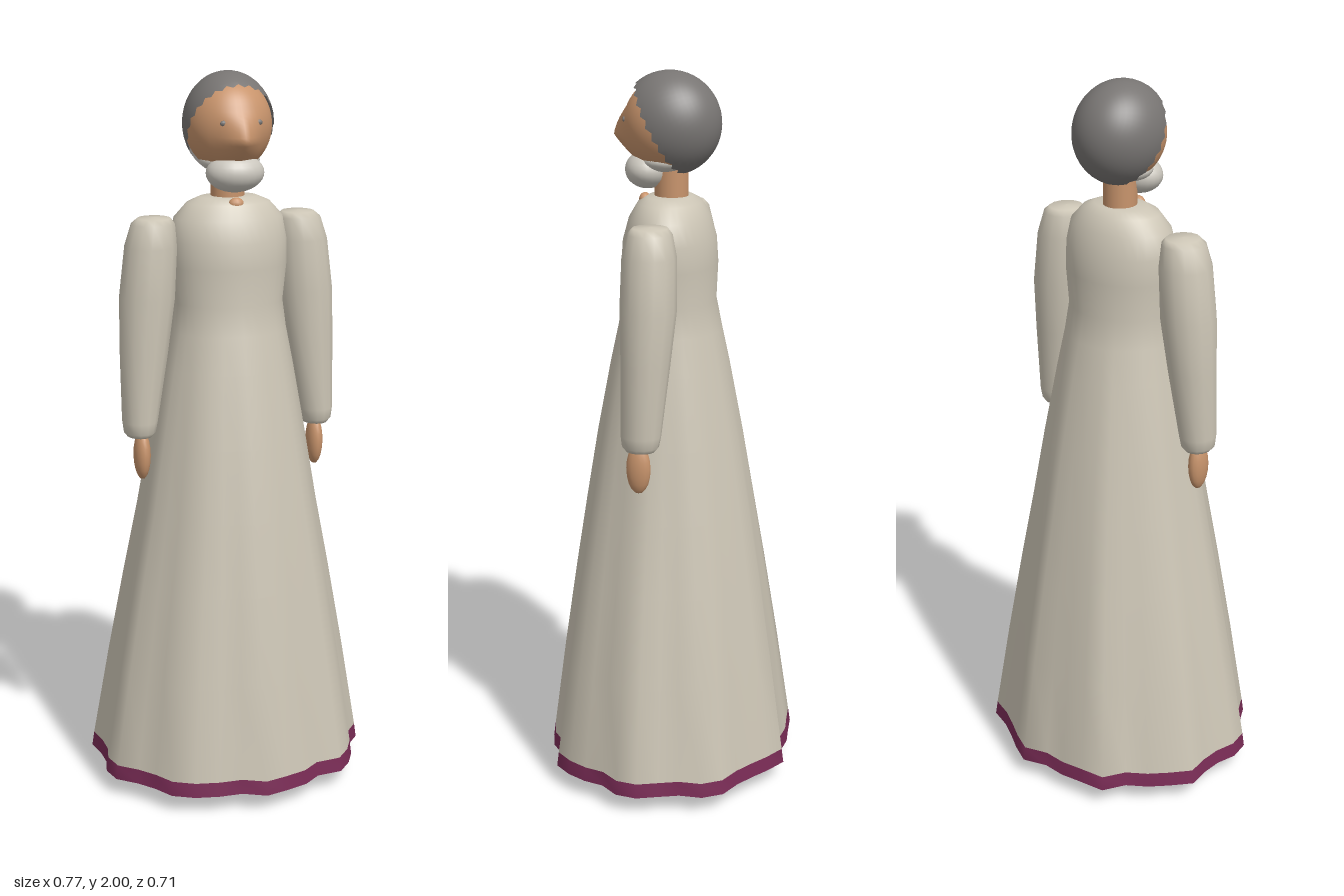
import * as THREE from 'three';

const mat = (name, color, extra = {}) => {
  const m = new THREE.MeshStandardMaterial({ color, ...extra });
  m.name = name;
  return m;
};

// Skirt fold multipliers, one every 10 degrees from +x towards +z
const FOLDS = [
  1.04, 1.035, 0.963, 1, 1.03, 1.05, 0.955, 1.005, 1.02, 1.053, 0.97, 1.01,
  1.05, 1.06, 1, 1, 1.065, 1.05, 0.995, 1.01, 1.086, 1.045, 1.025, 1,
  1.1, 1.04, 1.02, 0.99, 1.07, 1.02, 0.985, 0.99, 1.06, 1.05, 0.975, 0.99,
];

// Lofts elliptical rings [cx, y, cz, rx, rz, fold], listed from top to bottom
function loft(rings, sides) {
  const pos = [], idx = [];
  rings.forEach(([cx, y, cz, rx, rz, fold = 0], r) => {
    for (let i = 0; i < sides; i++) {
      const a = (i / sides) * Math.PI * 2;
      const k = fold ? 1 + (FOLDS[i] - 1) * fold : 1;
      pos.push(cx + Math.cos(a) * rx * k, y, cz + Math.sin(a) * rz * k);
      if (r === rings.length - 1) continue;
      const j = (i + 1) % sides, p = r * sides, q = p + sides;
      idx.push(p + i, p + j, q + i, p + j, q + j, q + i);
    }
  });
  const g = new THREE.BufferGeometry();
  g.setAttribute('position', new THREE.Float32BufferAttribute(pos, 3));
  g.setIndex(idx);
  g.computeVertexNormals();
  return g;
}

export function createModel() {
  const group = new THREE.Group();
  const cloth = mat('robe cloth', 0xcdc6b6, { side: THREE.DoubleSide });
  const trim = mat('hem purple', 0x7a2c56, { side: THREE.DoubleSide });
  const skin = mat('skin', 0xc8946c);
  const hairGrey = mat('hair grey', 0x787573);
  const beardGrey = mat('beard grey', 0xcbc7be);

  const add = (name, geometry, material) => {
    const m = new THREE.Mesh(geometry, material);
    m.name = name;
    group.add(m);
    return m;
  };
  const ball = (name, material, [x, y, z], [rx, ry, rz], seg = 24) => {
    const m = add(name, new THREE.SphereGeometry(1, seg, seg * 0.67 | 0), material);
    m.position.set(x, y, z);
    m.scale.set(rx, ry, rz);
    return m;
  };

  // Robe: shoulders, bodice and flared, folded skirt
  const hemTop = [0, 0.09, 0, 0.365, 0.33, 0.98];
  add('robe', loft([
    [0, 1.667, 0, 0.03, 0.03],
    [0, 1.665, 0, 0.08, 0.06],
    [0, 1.65, 0, 0.115, 0.085],
    [0, 1.61, 0, 0.152, 0.108],
    [0, 1.55, 0, 0.163, 0.125],
    [0, 1.48, 0, 0.163, 0.13],
    [0, 1.38, 0, 0.152, 0.126, 0.02],
    [0, 1.3, 0, 0.162, 0.142, 0.1],
    [0, 1.2, 0, 0.181, 0.163, 0.2],
    [0, 1.0, 0, 0.215, 0.2, 0.4],
    [0, 0.8, 0, 0.247, 0.232, 0.55],
    [0, 0.6, 0, 0.283, 0.262, 0.7],
    [0, 0.35, 0, 0.325, 0.297, 0.85],
    hemTop,
  ], 36), cloth);
  add('hemBand', loft([hemTop, [0, 0.05, 0, 0.37, 0.335, 1]], 36), trim);

  // Sleeves, hands, legs and feet
  for (const s of [1, -1]) {
    const side = s > 0 ? 'left' : 'right';
    const dx = -0.005;
    const sleeve = [
      [0.205, 1.618, 0.003, 0, 0],
      [0.205, 1.615, 0.003, 0.045, 0.048],
      [0.208, 1.6, 0.003, 0.06, 0.06],
      [0.215, 1.54, 0.003, 0.072, 0.073],
      [0.227, 1.4, 0.003, 0.077, 0.076],
      [0.239, 1.25, 0.008, 0.067, 0.066],
      [0.255, 1.06, 0.017, 0.049, 0.055],
      [0.256, 1.03, 0.018, 0.044, 0.05],
      [0.256, 1.018, 0.018, 0.034, 0.04],
      [0.256, 1.016, 0.018, 0, 0],
    ].map(([x, ...rest]) => [s * x + dx, ...rest]);
    add(side + 'Sleeve', loft(sleeve, 14), cloth);
    ball(side + 'Hand', skin, [s * 0.252 + dx, 0.965, 0.025], [0.023, 0.07, 0.034], 16);

    const leg = add(side + 'Leg', new THREE.CylinderGeometry(0.06, 0.042, 0.85, 16), skin);
    leg.position.set(s * 0.095, 0.475, 0);
    ball(side + 'Foot', skin, [s * 0.095, 0.042, 0.035], [0.05, 0.042, 0.107], 20);
  }

  // Neck and the small opening at the collar
  add('neck', new THREE.CylinderGeometry(0.046, 0.046, 0.17, 20), skin).position.set(0, 1.695, -0.004);
  ball('collarOpening', skin, [0, 1.652, 0.07], [0.022, 0.018, 0.016], 12);

  // Face: an ellipsoid with the middle drawn forward into a pointed nose
  const face = new THREE.SphereGeometry(1, 48, 36);
  face.scale(0.117, 0.128, 0.125);
  face.translate(0, 1.858, 0);
  const fp = face.attributes.position;
  for (let i = 0; i < fp.count; i++) {
    if (fp.getZ(i) <= 0) continue;
    const w = Math.max(0, 1 - Math.abs(fp.getX(i)) / 0.065);
    const h = Math.max(0, 1 - Math.abs(fp.getY(i) - 1.825) / 0.08);
    fp.setZ(i, fp.getZ(i) + 0.035 * w * h);
  }
  face.computeVertexNormals();
  add('face', face, skin);

  // Hair: a tilted cap with a jagged edge
  const cols = 48, rows = 16;
  const hair = new THREE.SphereGeometry(1, cols, rows, 0, Math.PI * 2, 0, Math.PI * 0.56);
  const hp = hair.attributes.position;
  for (let c = 0; c <= cols; c++) {
    const i = rows * (cols + 1) + c;
    const a = (c / cols) * Math.PI * 2;
    const t = Math.PI * 0.56 + (c % 2 ? 0.05 : -0.03);
    hp.setXYZ(i, -Math.cos(a) * Math.sin(t), Math.cos(t), Math.sin(a) * Math.sin(t));
  }
  hair.rotateX(-1.075);
  hair.scale(0.122, 0.14, 0.14);
  hair.translate(0, 1.86, 0);
  const hairMat = hairGrey;
  hairMat.side = THREE.DoubleSide;
  add('hair', hair, hairMat);

  // Eyes
  for (const s of [1, -1]) {
    ball(s > 0 ? 'leftEye' : 'rightEye', hairGrey, [s * 0.048, 1.873, 0.113], [0.011, 0.008, 0.005], 10);
  }

  // Beard: rounded chin piece and the part along the jaw
  ball('beard', beardGrey, [0, 1.735, 0.06], [0.08, 0.052, 0.062]);
  ball('jawBeard', beardGrey, [0, 1.763, 0.012], [0.083, 0.034, 0.07]);

  return group;
}
